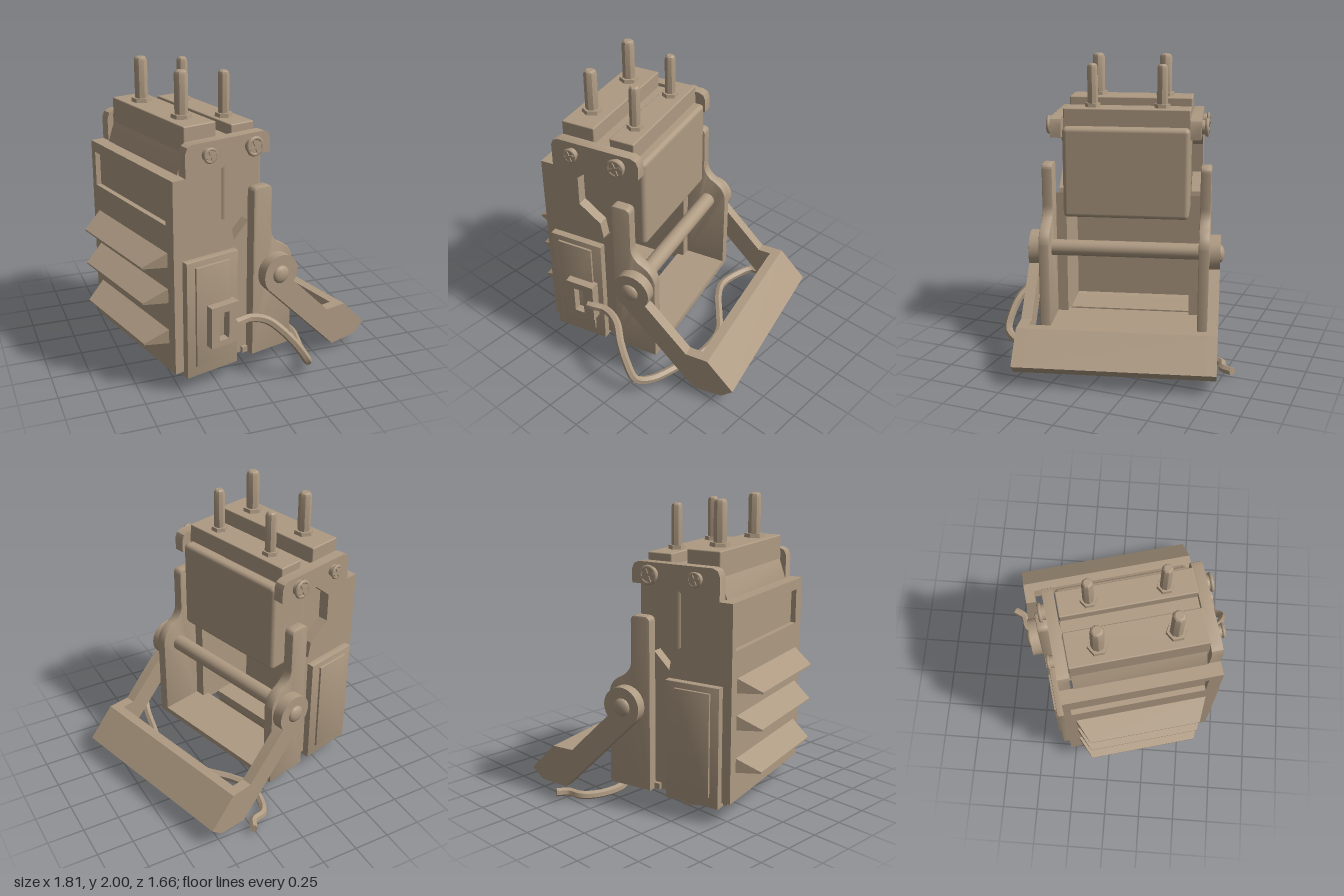
import * as THREE from 'three';
import { RoundedBoxGeometry } from 'three/addons/geometries/RoundedBoxGeometry.js';
import { toCreasedNormals } from 'three/addons/utils/BufferGeometryUtils.js';

const material = new THREE.MeshStandardMaterial({ color: 0xae9a82 });

function add(parent, name, geometry, x = 0, y = 0, z = 0) {
  const mesh = new THREE.Mesh(geometry, material);
  mesh.name = name;
  mesh.position.set(x, y, z);
  parent.add(mesh);
  return mesh;
}

// Box given by its limits on each axis
function box(parent, name, x0, x1, y0, y1, z0, z1, round = 0) {
  const size = [x1 - x0, y1 - y0, z1 - z0];
  const geometry = round ? new RoundedBoxGeometry(...size, 3, round) : new THREE.BoxGeometry(...size);
  return add(parent, name, geometry, (x0 + x1) / 2, (y0 + y1) / 2, (z0 + z1) / 2);
}

const polygon = (points) => new THREE.Shape(points.map((p) => new THREE.Vector2(...p)));

const rectangle = (x0, x1, y0, y1) => polygon([[x0, y0], [x1, y0], [x1, y1], [x0, y1]]);

function extrude(shape, depth, bevel = 0) {
  const geometry = new THREE.ExtrudeGeometry(shape, {
    depth: depth - 2 * bevel, bevelEnabled: bevel > 0, bevelThickness: bevel,
    bevelSize: bevel, bevelOffset: -bevel, bevelSegments: 2, curveSegments: 12,
  });
  geometry.translate(0, 0, bevel);
  return toCreasedNormals(geometry, 0.6);
}

// Flat profile in x and y, from distance a to b out from the middle, on both sides
function sidePair(parent, name, shape, a, b, bevel = 0) {
  const geometry = extrude(shape, b - a, bevel);
  add(parent, name + 'Left', geometry, 0, 0, a);
  add(parent, name + 'Right', geometry, 0, 0, -b);
}

function createModel() {
  const model = new THREE.Group();
  model.name = 'latchedModule';
  const body = new THREE.Group();
  body.name = 'body';
  body.rotation.y = THREE.MathUtils.degToRad(15);
  body.position.set(0.008, 0, 0.029);
  model.add(body);

  // Upper core with a sloped shoulder, above an open bay between the side walls
  const core = polygon([
    [-0.62, 0.94], [-0.15, 0.94], [-0.15, 1.55], [-0.57, 1.55], [-0.615, 1.42],
  ]);
  add(body, 'core', extrude(core, 0.84), 0, 0, -0.42);
  box(body, 'floor', -0.2, 0.15, 0.14, 0.18, -0.53, 0.53);
  box(body, 'base', -0.65, -0.3, 0.1, 0.15, -0.45, 0.45);
  box(body, 'cover', -0.3, 0.01, 0.925, 1.55, -0.43, 0.43, 0.03);

  // Sloped foot with slots
  const footShape = rectangle(-0.15, 0.15, -0.43, 0.43);
  for (const z of [-0.2, 0.2]) {
    for (const x of [-0.06, 0.06]) {
      footShape.holes.push(rectangle(x - 0.025, x + 0.025, z - 0.15, z + 0.15));
    }
  }
  const foot = add(body, 'foot', extrude(footShape, 0.07).rotateX(Math.PI / 2), -0.455, 0.125, 0);
  foot.rotation.z = -0.23;

  // Front block with a shallow framed recess
  const blockShape = rectangle(-0.507, 0.507, 0.14, 1.42);
  blockShape.holes.push(rectangle(-0.42, 0.46, 1.12, 1.35));
  const block = add(body, 'finBlock', extrude(blockShape, 0.09), -0.7, 0, 0);
  block.rotation.y = Math.PI / 2;
  box(body, 'recessPanel', -0.665, -0.612, 1.1, 1.37, -0.48, 0.44);

  // Three wedge fins with tapered ends
  for (const y of [0.86, 0.62, 0.34]) {
    const fin = extrude(polygon([[-0.69, 0], [-0.69, 0.1], [-0.845, 0.01], [-0.845, 0]]), 0.88);
    fin.translate(0, 0, -0.44);
    const p = fin.attributes.position;
    for (let i = 0; i < p.count; i++) {
      if (p.getX(i) < -0.8) p.setZ(i, p.getZ(i) * 0.84);
    }
    fin.computeVertexNormals();
    add(body, 'fin', fin, 0, y - 0.01, 0);
  }

  // Side walls with a chamfered cutout and a top ear
  const wall = polygon([
    [-0.61, 0.14], [-0.15, 0.14], [-0.15, 1.06], [-0.26, 0.95], [-0.28, 1.06], [-0.43, 1.17],
    [-0.43, 1.37], [-0.3, 1.48], [0.01, 1.48], [0.01, 1.57], [-0.005, 1.605], [-0.04, 1.62],
    [-0.56, 1.62], [-0.595, 1.605], [-0.61, 1.57],
  ]);
  sidePair(body, 'sideWall', wall, 0.435, 0.507);

  // Raised lower side panels
  sidePair(body, 'sidePanel', rectangle(-0.64, -0.26, 0.11, 0.9), 0.48, 0.555, 0.006);
  sidePair(body, 'panelInset', rectangle(-0.58, -0.33, 0.18, 0.86), 0.54, 0.57, 0.006);

  // Cable socket
  const socket = rectangle(-0.505, -0.3, 0.31, 0.59);
  socket.holes.push(rectangle(-0.445, -0.375, 0.35, 0.54));
  add(body, 'socket', extrude(socket, 0.07), 0, 0, 0.555);

  // Cross-slotted screws
  for (const side of [-1, 1]) {
    for (const [x, r] of [[-0.455, 0.05], [-0.13, 0.064]]) {
      const screw = new THREE.Group();
      screw.name = 'screw';
      screw.position.set(x, 1.545, side * 0.505);
      if (side < 0) screw.rotation.y = Math.PI;
      body.add(screw);
      add(screw, 'screwHead', new THREE.CylinderGeometry(r * 0.75, r * 0.8, 0.045, 20).rotateX(Math.PI / 2), 0, 0, 0.02);
      add(screw, 'screwRim', new THREE.TorusGeometry(r * 0.8, r * 0.2, 8, 20), 0, 0, 0.035);
      for (const turn of [0.4, 0.4 + Math.PI / 2]) {
        const bar = box(screw, 'screwCross', -r * 0.7, r * 0.7, -r * 0.13, r * 0.13, 0.03, 0.05);
        bar.rotation.z = turn;
      }
    }
  }

  // Terminal strips with studs and nuts
  box(body, 'terminalBed', -0.57, -0.06, 1.5, 1.6, -0.43, 0.43);
  for (const [x0, x1, top, px, r, tip] of [
    [-0.57, -0.34, 1.71, -0.463, 0.043, 2], [-0.23, -0.06, 1.67, -0.153, 0.036, 1.96],
  ]) {
    box(body, 'terminalStrip', x0, x1, 1.5, top, -0.43, 0.43, 0.008);
    for (const z of [-0.235, 0.24]) {
      const h = tip - top;
      const profile = [[0, 0], [r, 0], [r, h - 0.025], [r * 0.85, h - 0.008], [r * 0.6, h], [0, h]];
      const stud = new THREE.LatheGeometry(profile.map((p) => new THREE.Vector2(...p)), 8);
      add(body, 'stud', toCreasedNormals(stud, 0.5), px, top, z);
      const nut = new THREE.CylinderGeometry(r * 1.45, r * 1.55, 0.025, 6);
      add(body, 'nut', toCreasedNormals(nut, 0.5), px, top + 0.0125, z);
    }
  }

  // Upright hinge plates, widening around the pivot
  const plate = new THREE.Shape();
  plate.moveTo(-0.16, 0.14);
  plate.lineTo(0.15, 0.14);
  plate.lineTo(0.15, 0.76);
  plate.quadraticCurveTo(0.14, 0.84, 0.06, 0.88);
  plate.quadraticCurveTo(-0.02, 0.92, -0.02, 1.0);
  plate.lineTo(-0.02, 1.25);
  plate.quadraticCurveTo(-0.02, 1.29, -0.06, 1.29);
  plate.lineTo(-0.12, 1.29);
  plate.quadraticCurveTo(-0.16, 1.29, -0.16, 1.25);
  sidePair(body, 'hingePlate', plate, 0.507, 0.58, 0.008);

  // Pivot axle and rounded end caps
  add(body, 'axle', new THREE.CylinderGeometry(0.055, 0.055, 1.1, 20).rotateX(Math.PI / 2), 0.01, 0.71, 0);
  for (const side of [-1, 1]) {
    const cap = new THREE.SphereGeometry(0.06, 20, 12).scale(1, 1, 0.5);
    add(body, 'axleCap', cap, 0.005, 0.7, side * 0.65);
  }

  // Swinging bail: two arms and the cross grip
  const arm = new THREE.Shape();
  arm.moveTo(-0.082, 0.608);
  arm.lineTo(0.47, 0.055);
  arm.lineTo(0.67, 0.07);
  arm.lineTo(0.75, 0.14);
  arm.lineTo(0.565, 0.33);
  arm.lineTo(0.41, 0.33);
  arm.lineTo(0.13, 0.61);
  arm.absarc(0.01, 0.7, 0.13, -0.64, Math.PI * 1.25, false);
  sidePair(body, 'bailArm', arm, 0.58, 0.652);
  const grip = extrude(polygon([[0.5, 0.33], [0.565, 0.33], [0.75, 0.14], [0.67, 0.07], [0.48, 0.26]]), 1.3);
  add(body, 'bailGrip', grip, 0, 0, -0.65);

  // Loose six-sided cable running from the socket along the ground
  const path = new THREE.CatmullRomCurve3([
    [-0.15, 0.45, 0.73], [-0.11, 0.45, 0.715], [-0.03, 0.44, 0.68], [0.08, 0.41, 0.695], [0.18, 0.33, 0.76],
    [0.26, 0.23, 0.79], [0.33, 0.12, 0.785], [0.37, 0.06, 0.68], [0.41, 0.04, 0.48], [0.45, 0.04, 0.25],
    [0.4, 0.03, 0], [0.28, 0.03, -0.15], [0.15, 0.03, -0.3], [0.08, 0.03, -0.43], [0.09, 0.03, -0.6],
    [0.14, 0.04, -0.71], [0.23, 0.045, -0.745], [0.27, 0.05, -0.82],
  ].map((p) => new THREE.Vector3(...p)));
  add(model, 'cable', toCreasedNormals(new THREE.TubeGeometry(path, 110, 0.028, 6), 0.8));
  const end = add(model, 'cableEnd', new THREE.CircleGeometry(0.028, 6), 0.27, 0.05, -0.82);
  end.lookAt(end.position.clone().add(path.getTangent(1)));

  return model;
}

export { createModel };
